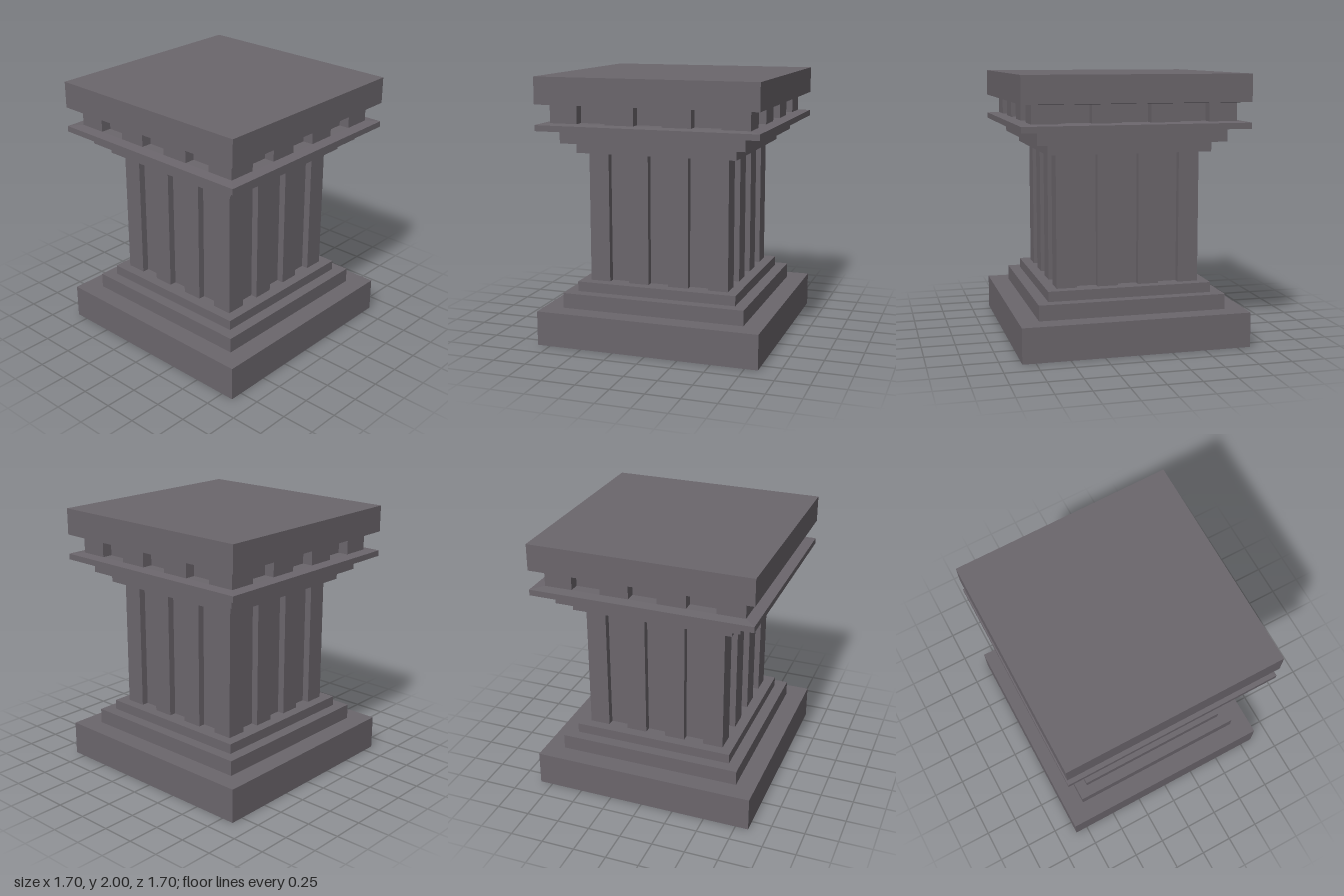
import * as THREE from 'three';

export function createModel() {
  const group = new THREE.Group();
  group.name = 'squarePedestal';
  const stone = new THREE.MeshStandardMaterial({ color: 0x6b666c });
  stone.name = 'greyStone';

  const add = (name, geometry, y) => {
    const mesh = new THREE.Mesh(geometry, stone);
    mesh.name = name;
    mesh.position.y = y;
    group.add(mesh);
  };

  // Square slab between two heights
  const slab = (name, y0, y1, half) =>
    add(name, new THREE.BoxGeometry(half * 2, y1 - y0, half * 2), (y0 + y1) / 2);

  // Shallow four-sided taper
  const taper = (name, y0, y1, half0, half1) => {
    const g = new THREE.CylinderGeometry(half1 * Math.SQRT2, half0 * Math.SQRT2, y1 - y0, 4)
      .rotateY(Math.PI / 4).toNonIndexed();
    g.computeVertexNormals();
    add(name, g, (y0 + y1) / 2);
  };

  // Square block with three channels cut into every side
  const channelled = (name, y0, y1, half, cuts, depth) => {
    const inner = half - depth;
    const [a, b, c] = cuts;
    const side = [
      [-half, half], [-a, half], [-a, inner], [-b, inner], [-b, half], [-c, half], [-c, inner],
      [c, inner], [c, half], [b, half], [b, inner], [a, inner], [a, half],
    ];
    const points = [];
    for (let i = 0; i < 4; i++) {
      for (const [x, y] of side) {
        points.push(new THREE.Vector2(x, y).rotateAround(new THREE.Vector2(), -i * Math.PI / 2));
      }
    }
    const g = new THREE.ExtrudeGeometry(new THREE.Shape(points), { depth: y1 - y0, bevelEnabled: false });
    add(name, g.rotateX(-Math.PI / 2), y0);
  };

  // Stepped base
  slab('plinth', 0, 0.26, 0.848);
  slab('lowerBaseStep', 0.26, 0.375, 0.7);
  slab('upperBaseStep', 0.375, 0.45, 0.615);

  // Fluted shaft
  channelled('flutedShaft', 0.45, 1.43, 0.538, [0.385, 0.232, 0.077], 0.053);

  // Stepped capital
  slab('lowerCapitalStep', 1.43, 1.508, 0.61);
  slab('upperCapitalStep', 1.508, 1.608, 0.7);
  slab('capitalLedge', 1.608, 1.652, 0.834);
  taper('ledgeSlope', 1.652, 1.66, 0.834, 0.75);

  // Row of square teeth below the top slab
  channelled('dentilBand', 1.66, 1.793, 0.75, [0.54, 0.322, 0.107], 0.08);

  taper('topSlabUnderside', 1.793, 1.8, 0.75, 0.834);
  slab('topSlab', 1.8, 2, 0.834);

  return group;
}
